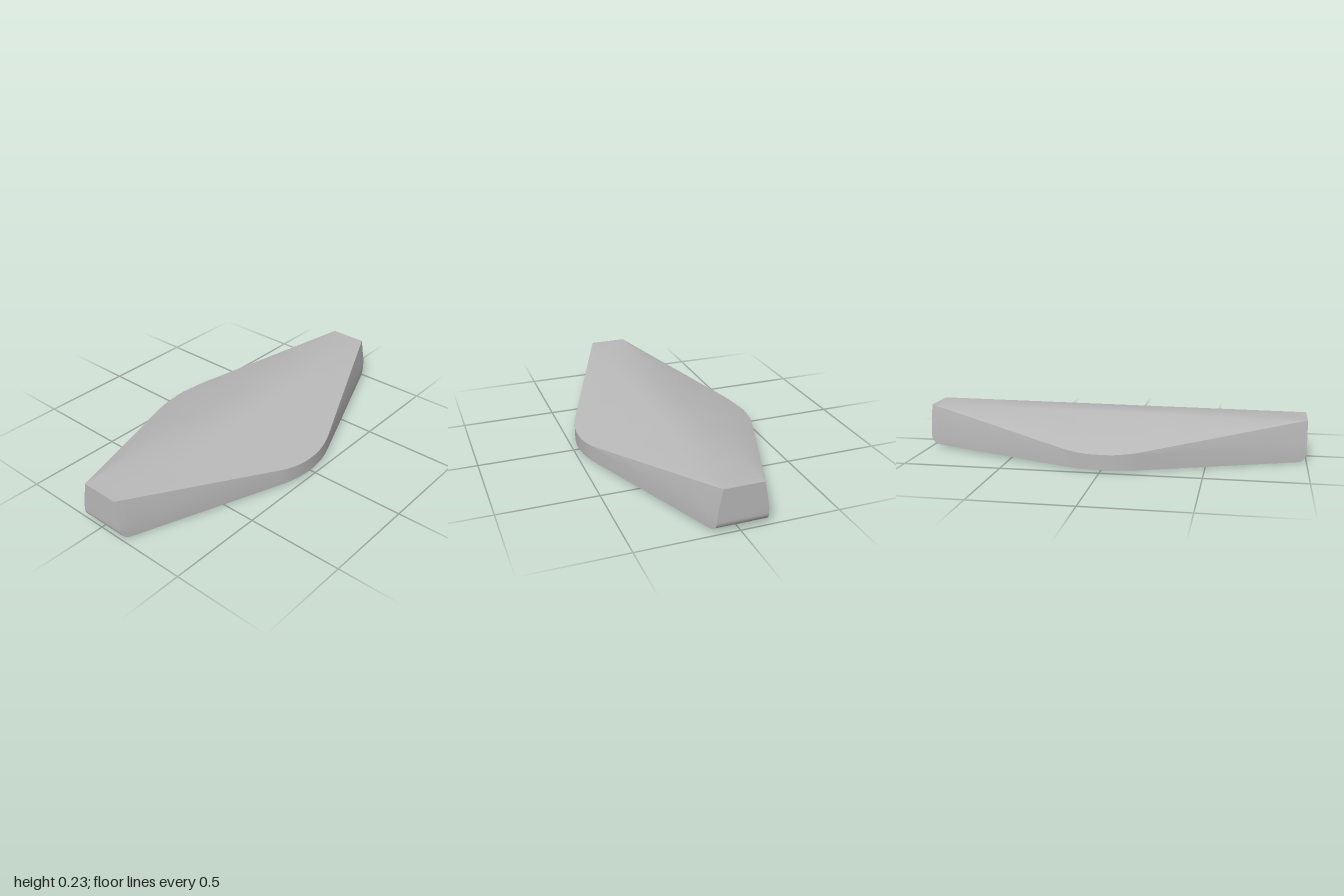
import * as THREE from 'three';

const SHOULDER = 0.085; // height where the vertical wall starts to lean inwards
const RIDGE = 0.218;
const BASE = 0.008;
const RADIUS = 0.045; // rounding under both ends

// Slight yaw and pitch of the whole body
const place = (x, y, z) => [x + 0.01 * z, y - 0.008 * z, z];

// Half width of the diamond outline, rounded at its middle
function halfWidth(z) {
  const a = Math.abs(z);
  if (a >= 0.2) return 0.125 + (1 - a) * 0.386;
  return 0.434 + 0.0386 * (1 - (a / 0.2) ** 2);
}

// Measurements of the cross-section at z
function section(z) {
  const a = Math.abs(z);
  const w = halfWidth(z);
  const rim = w - 0.025 * Math.max(0, (a - 0.17) / 0.83);
  const rimY = RIDGE - (rim - 0.1) * 0.36;
  const d = Math.max(0, a - (1 - RADIUS));
  const bottom = BASE + RADIUS - Math.sqrt(Math.max(0, RADIUS ** 2 - d ** 2));
  return { z, w, rim, rimY, bottom };
}

// Smooth surface through rows of points
function patch(name, rows, material) {
  const n = rows[0].length;
  const index = [];
  for (let i = 0; i < rows.length - 1; i++) {
    for (let j = 0; j < n - 1; j++) {
      const a = i * n + j, d = a + n;
      index.push(a, d + 1, d, a, a + 1, d + 1);
    }
  }
  const geometry = new THREE.BufferGeometry();
  geometry.setAttribute('position', new THREE.Float32BufferAttribute(rows.flat(2), 3));
  geometry.setIndex(index);
  geometry.computeVertexNormals();
  const mesh = new THREE.Mesh(geometry, material);
  mesh.name = name;
  return mesh;
}

export function createModel() {
  const grey = new THREE.MeshStandardMaterial({ color: 0xb8b8b8 });
  grey.name = 'plain grey';

  // Stations from the front end to the back end
  const half = [];
  for (let i = 0; i <= 6; i++) half.push(1 - RADIUS * (1 - Math.cos((i / 6) * Math.PI / 2)));
  // the arc is stepped evenly by angle
  for (let i = 0; i <= 6; i++) half[i] = 1 - RADIUS + RADIUS * Math.cos((i / 6) * Math.PI / 2);
  half.push(0.8, 0.6, 0.4, 0.2, 0.16, 0.12, 0.08, 0.04);
  const stations = [...half, 0, ...half.map((z) => -z).reverse()].map(section);

  // Top with a flat ridge sloping to both sides
  const top = stations.map((s) => [
    place(-s.rim, s.rimY, s.z), place(-0.1, RIDGE, s.z),
    place(0.1, RIDGE, s.z), place(s.rim, s.rimY, s.z),
  ]);

  // Side wall: rim, shoulder, bottom edge
  const wall = (side) => stations.map((s) => {
    const points = [
      place(side * s.rim, s.rimY, s.z),
      place(side * s.w, SHOULDER, s.z),
      place(side * s.w, s.bottom, s.z),
    ];
    return side > 0 ? points : points.reverse();
  });

  // Underside, curving up into both end faces
  const pair = (x, y, z) => [place(x, y, z), place(-x, y, z)];
  const endRows = (s) => [pair(s.rim, s.rimY, s.z), pair(s.w, SHOULDER, s.z)];
  const underside = [
    ...endRows(stations[0]),
    ...stations.map((s) => pair(s.w, s.bottom, s.z)),
    ...endRows(stations[stations.length - 1]).reverse(),
  ];

  const group = new THREE.Group();
  group.name = 'diamondBody';
  group.add(
    patch('topSurface', top, grey),
    patch('leftWall', wall(1), grey),
    patch('rightWall', wall(-1), grey),
    patch('undersideAndEnds', underside, grey),
  );
  return group;
}
